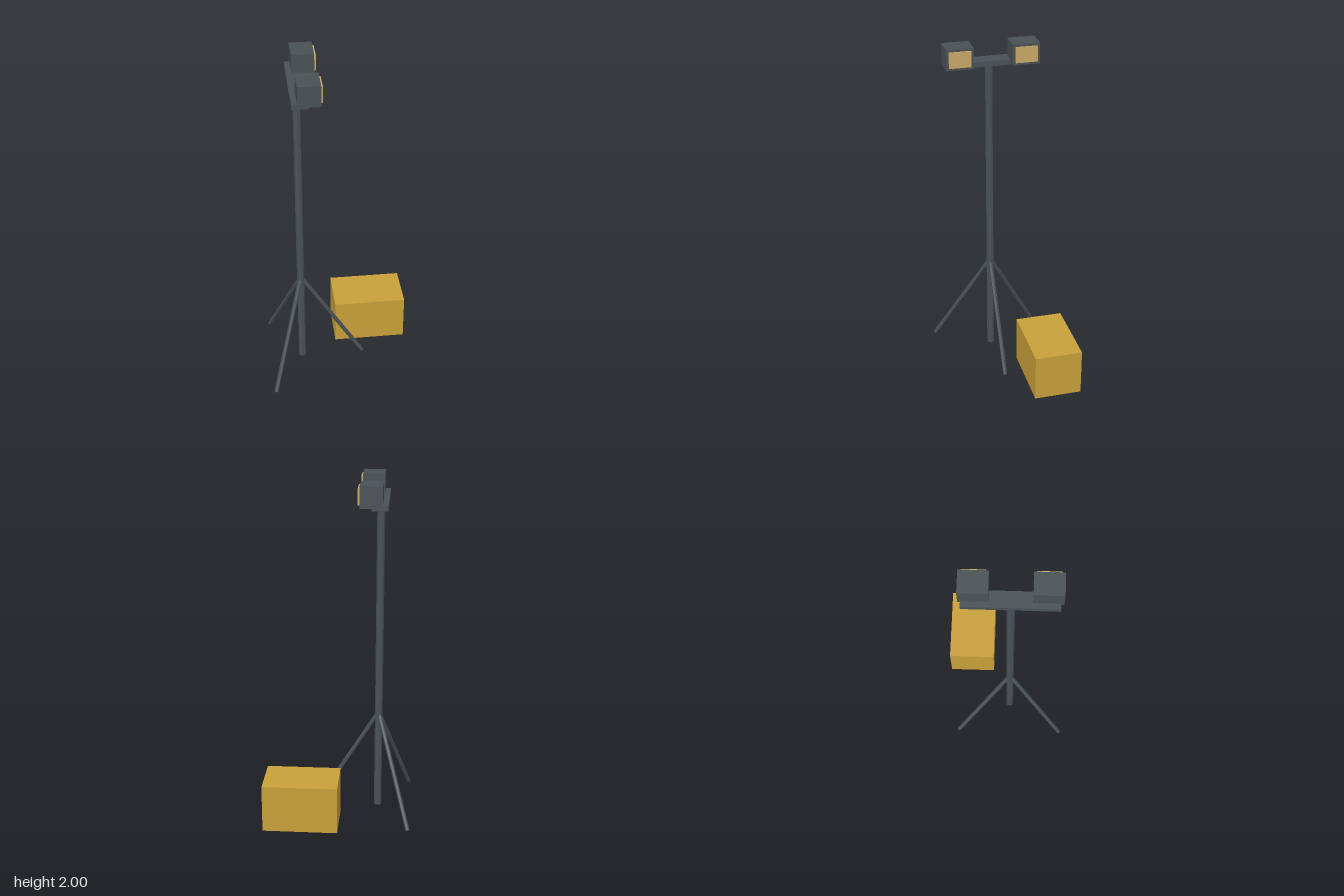
import * as THREE from 'three';

export function createModel() {
  const model = new THREE.Group();
  const material = (name, color) => {
    const m = new THREE.MeshStandardMaterial({ color, flatShading: true });
    m.name = name;
    return m;
  };
  const metal = material('dark grey metal', 0x4a5255);
  const yellow = material('ochre yellow', 0xc8a03a);
  const glass = material('warm lamp glass', 0xcaa868);

  const add = (name, geometry, mat) => {
    const mesh = new THREE.Mesh(geometry, mat);
    mesh.name = name;
    model.add(mesh);
    return mesh;
  };
  // Box given by its low and high corners
  const box = (name, mat, [x0, y0, z0], [x1, y1, z1]) =>
    add(name, new THREE.BoxGeometry(x1 - x0, y1 - y0, z1 - z0), mat)
      .position.set((x0 + x1) / 2, (y0 + y1) / 2, (z0 + z1) / 2);

  const poleX = -0.229, poleZ = 0.027;

  // Mast and crossbar
  add('mast', new THREE.CylinderGeometry(0.0225, 0.0225, 1.86, 8), metal)
    .position.set(poleX, 0.94, poleZ);
  box('crossbar', metal, [-0.275, 1.864, poleZ - 0.25], [-0.184, 1.895, poleZ + 0.25]);

  // Tripod legs, spread evenly around the mast
  const up = new THREE.Vector3(0, 1, 0);
  const top = new THREE.Vector3(poleX, 0.612, poleZ);
  for (let i = 0; i < 3; i++) {
    const a = (i * Math.PI * 2) / 3;
    const foot = new THREE.Vector3(poleX + 0.372 * Math.cos(a), 0.007, poleZ + 0.372 * Math.sin(a));
    const dir = top.clone().sub(foot);
    const geometry = new THREE.CylinderGeometry(0.0125, 0.0125, dir.length(), 6).rotateY(Math.PI / 2);
    const leg = add('tripodLeg', geometry, metal);
    leg.position.copy(top).add(foot).multiplyScalar(0.5);
    leg.quaternion.setFromUnitVectors(up, dir.normalize());
  }

  // Pair of floodlights facing +x
  for (const side of [-1, 1]) {
    const z = poleZ + side * 0.187;
    box('lampHousing', metal, [-0.245, 1.88, z - 0.077], [-0.121, 2, z + 0.077]);
    box('lampGlass', glass, [-0.1205, 1.895, z - 0.062], [-0.111, 1.985, z + 0.062]);
  }

  // Generator box on the ground beside the mast
  box('generatorBox', yellow, [-0.011, 0.01, -0.362], [0.422, 0.29, -0.083]);

  return model;
}
